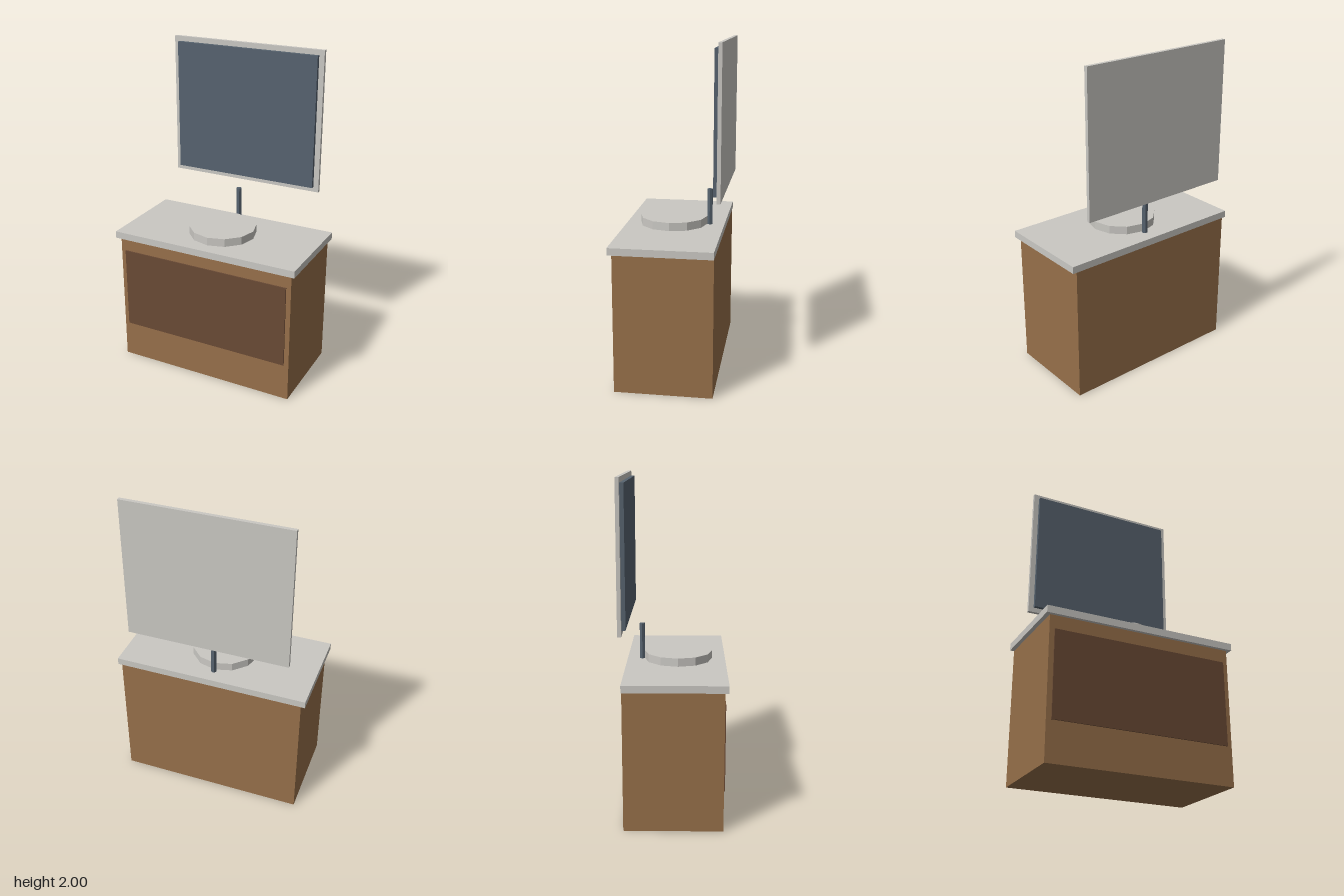
import * as THREE from 'three';

const material = (name, color) => {
  const m = new THREE.MeshStandardMaterial({ color });
  m.name = name;
  return m;
};

export function createModel() {
  const group = new THREE.Group();
  group.name = 'bathroomVanity';

  const stone = material('paleStone', 0xcac8c3);
  const wood = material('warmWood', 0x97704a);
  const darkWood = material('darkWood', 0x6a4a35);
  const steel = material('blueGreySteel', 0x57636f);
  // faceted sides for the low-poly round parts
  stone.flatShading = true;
  steel.flatShading = true;

  const add = (name, geometry, mat, x, y, z) => {
    const mesh = new THREE.Mesh(geometry, mat);
    mesh.name = name;
    mesh.position.set(x, y, z);
    group.add(mesh);
    return mesh;
  };
  // box given by half width, y range and z range
  const box = (name, mat, halfW, y0, y1, z0, z1) =>
    add(name, new THREE.BoxGeometry(halfW * 2, y1 - y0, z1 - z0), mat, 0, (y0 + y1) / 2, (z0 + z1) / 2);

  // Cabinet with a thin front panel
  box('cabinet', wood, 0.575, 0, 0.837, -0.288, 0.289);
  box('drawerFront', darkWood, 0.545, 0.235, 0.754, 0.288, 0.296);

  // Countertop, basin and tap
  box('countertop', stone, 0.6, 0.837, 0.88, -0.29, 0.31);
  add('basin', new THREE.CylinderGeometry(0.207, 0.207, 0.05, 12), stone, 0, 0.905, 0.022);
  add('tap', new THREE.CylinderGeometry(0.0175, 0.0175, 0.222, 6), steel, 0, 0.99, -0.2)
    .rotation.y = Math.PI / 6;

  // Wall mirror
  box('mirrorFrame', stone, 0.496, 1.127, 2, -0.312, -0.29);
  box('mirrorGlass', steel, 0.463, 1.158, 1.969, -0.29, -0.267);

  return group;
}
